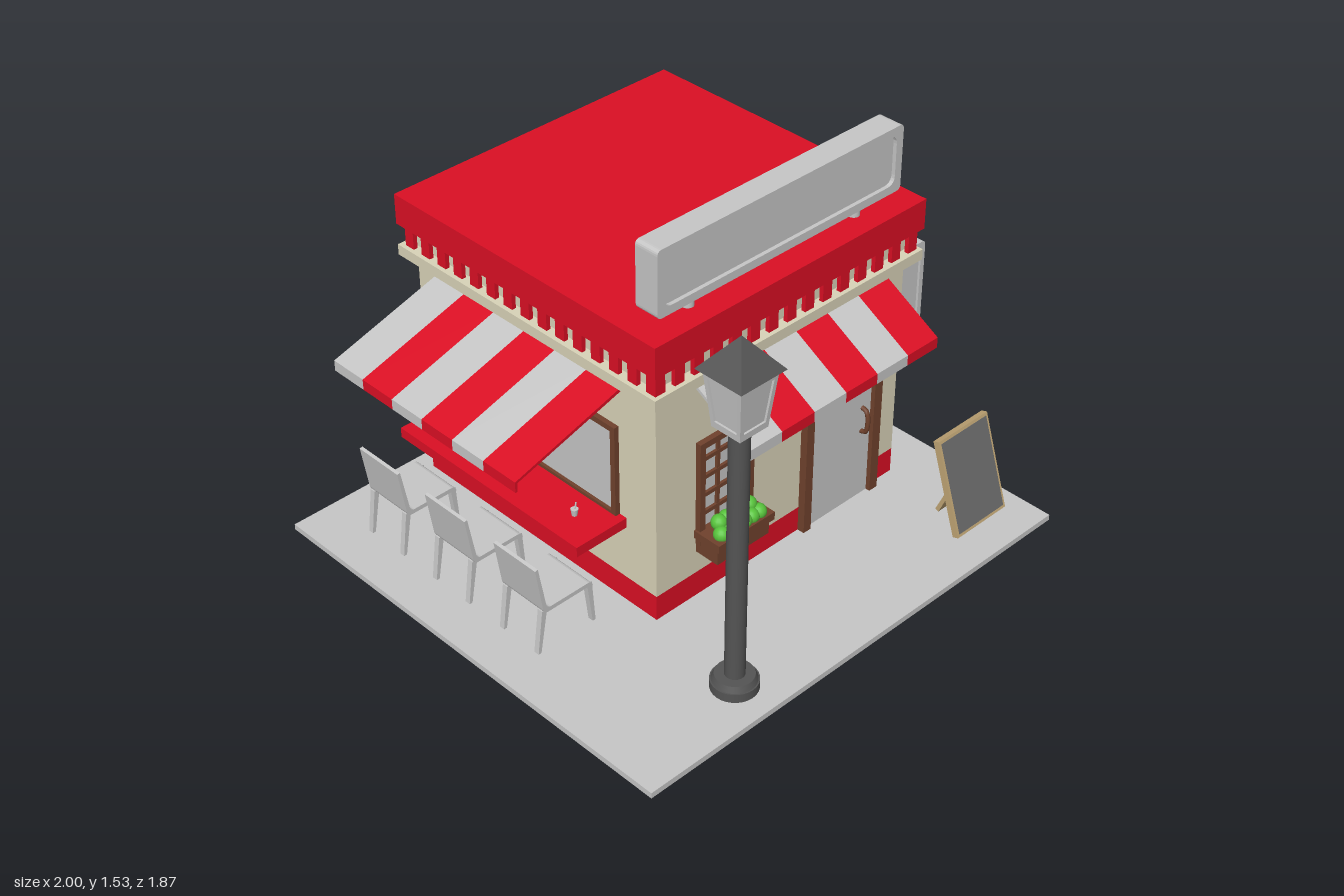
import * as THREE from 'three';

const mat = (name, color, side = THREE.FrontSide) => {
  const m = new THREE.MeshStandardMaterial({ color, side });
  m.name = name;
  return m;
};

export function createModel() {
  const grey = mat('pale grey', 0xc6c6c6);
  const red = mat('red', 0xdb0f24);
  const cream = mat('cream', 0xd9d3b8);
  const brown = mat('brown', 0x70422d);
  const dark = mat('lamp grey', 0x545454);
  const slate = mat('slate', 0x6a6a6a);
  const wood = mat('light wood', 0xbfa474);
  const green = mat('leaf green', 0x58c43c);

  const model = new THREE.Group();
  model.name = 'cafe';
  const group = (name, parent = model) => {
    const g = new THREE.Group();
    g.name = name;
    parent.add(g);
    return g;
  };
  const add = (name, geo, material, parent = model) => {
    const m = new THREE.Mesh(geo, material);
    m.name = name;
    parent.add(m);
    return m;
  };
  // Box given by its limits on each axis
  const box = (name, material, x0, x1, y0, y1, z0, z1, parent) => {
    const m = add(name, new THREE.BoxGeometry(x1 - x0, y1 - y0, z1 - z0), material, parent);
    m.position.set((x0 + x1) / 2, (y0 + y1) / 2, (z0 + z1) / 2);
    return m;
  };
  const cyl = (name, material, r0, r1, y0, y1, x, z, sides = 24, parent) => {
    const m = add(name, new THREE.CylinderGeometry(r1, r0, y1 - y0, sides), material, parent);
    m.position.set(x, (y0 + y1) / 2, z);
    return m;
  };

  // Pavement slab
  box('pavementFoot', grey, -0.945, 0.945, 0, 0.022, -0.9, 0.905);
  box('pavement', grey, -1, 1, 0.022, 0.045, -0.935, 0.93);

  // Building shell
  box('plinth', red, -0.42, 0.783, 0.045, 0.148, -0.853, 0.35);
  box('walls', cream, -0.42, 0.783, 0.148, 1.105, -0.853, 0.35);
  box('cornice', cream, -0.465, 0.828, 0.978, 1.02, -0.905, 0.395);
  box('roof', red, -0.465, 0.828, 1.105, 1.225, -0.905, 0.395);

  // Scalloped fringe around the roof
  const fringe = group('roofFringe');
  const w = 1.26 / 29;
  for (let i = 0; i < 15; i++) {
    const x = -0.448 + i * 2 * w, z = -0.881 + i * 2 * w;
    box('fringeFront', red, x, x + w, 1.02, 1.105, 0.362, 0.379, fringe);
    box('fringeBack', red, x, x + w, 1.02, 1.105, -0.881, -0.864, fringe);
    box('fringeLeft', red, 0.795, 0.812, 1.02, 1.105, z, z + w, fringe);
    box('fringeRight', red, -0.448, -0.431, 1.02, 1.105, z, z + w, fringe);
  }

  // Sign box: rounded recess on both faces
  const roundRect = (s, hw, hh, r) => {
    s.moveTo(-hw + r, -hh);
    s.lineTo(hw - r, -hh); s.quadraticCurveTo(hw, -hh, hw, -hh + r);
    s.lineTo(hw, hh - r); s.quadraticCurveTo(hw, hh, hw - r, hh);
    s.lineTo(-hw + r, hh); s.quadraticCurveTo(-hw, hh, -hw, hh - r);
    s.lineTo(-hw, -hh + r); s.quadraticCurveTo(-hw, -hh, -hw + r, -hh);
    return s;
  };
  const sign = (name, width, height, depth, rim, x, y, z) => {
    const g = group(name);
    const hw = width / 2, hh = height / 2;
    const outline = roundRect(new THREE.Shape(), hw, hh, 0.02);
    outline.holes.push(roundRect(new THREE.Path(), hw - rim, hh - rim, 0.035));
    const frame = new THREE.ExtrudeGeometry(outline, { depth, bevelEnabled: false, curveSegments: 5 });
    add('signFrame', frame.translate(0, 0, -depth / 2), grey, g);
    add('signPanel', new THREE.BoxGeometry(width - rim, height - rim, depth * 0.7), grey, g);
    g.position.set(x, y, z);
  };
  sign('roofSign', 1.15, 0.257, 0.1, 0.032, 0.177, 1.4, 0.288);
  sign('sideSign', 0.163, 0.44, 0.06, 0.02, 0.893, 0.725, 0.257);
  for (const x of [-0.217, 0.573]) cyl('roofSignPost', grey, 0.023, 0.023, 1.225, 1.29, x, 0.288);
  for (const y of [0.835, 0.583]) {
    const arm = cyl('sideSignArm', grey, 0.022, 0.022, -0.02, 0.02, 0.798, 0.257);
    arm.rotation.z = Math.PI / 2;
    arm.position.y = y;
  }

  // Striped awning; local x runs along the wall, +z points away from it
  const awning = (name, length, reach, drop) => {
    const g = group(name);
    const s = new THREE.Shape();
    s.moveTo(0, 0);
    s.lineTo(reach, -drop);
    s.lineTo(reach, -drop - 0.042);
    s.lineTo(reach - 0.008, -drop - 0.042);
    s.lineTo(reach - 0.01, -drop - 0.008);
    s.lineTo(0, -0.014);
    const step = length / 6;
    const geo = new THREE.ExtrudeGeometry(s, { depth: step, bevelEnabled: false });
    geo.rotateY(-Math.PI / 2);
    for (let i = 0; i < 6; i++) {
      add('awningStripe', geo, i % 2 ? red : grey, g).position.x = -length / 2 + (i + 1) * step;
    }
    return g;
  };
  awning('frontAwning', 0.93, 0.257, 0.145).position.set(0.215, 0.967, 0.35);
  const sideAwning = awning('counterAwning', 0.935, 0.475, 0.143);
  sideAwning.rotation.y = -Math.PI / 2;
  sideAwning.position.set(-0.42, 0.963, -0.267);

  // Front window with glazing bars
  const win = group('frontWindow');
  box('windowGlass', grey, -0.23, 0.02, 0.3, 0.7, 0.345, 0.355, win);
  for (const x of [-0.235, 0.0]) box('windowJamb', brown, x, x + 0.025, 0.28, 0.71, 0.35, 0.372, win);
  box('windowHead', brown, -0.235, 0.025, 0.685, 0.71, 0.35, 0.372, win);
  for (const x of [-0.142, -0.068]) box('glazingBar', brown, x - 0.007, x + 0.007, 0.3, 0.7, 0.35, 0.365, win);
  for (const y of [0.405, 0.482, 0.558, 0.635]) {
    box('glazingBar', brown, -0.23, 0.02, y - 0.008, y + 0.008, 0.35, 0.366, win);
  }

  // Flower box
  const planter = group('planter');
  box('planterBox', brown, -0.233, 0.018, 0.243, 0.31, 0.35, 0.455, planter);
  box('planterRim', brown, -0.243, 0.028, 0.308, 0.34, 0.35, 0.472, planter);
  const leaf = new THREE.SphereGeometry(0.03, 14, 10);
  for (let row = 0; row < 2; row++) {
    for (let i = 0; i < 6 - row; i++) {
      add('plant', leaf, green, planter)
        .position.set(-0.198 + i * 0.036 + row * 0.018, 0.35 + row * 0.025, 0.438 - row * 0.03);
    }
  }

  // Door
  const door = group('door');
  box('doorLeaf', grey, 0.31, 0.64, 0.045, 0.66, 0.345, 0.362, door);
  box('doorJamb', brown, 0.283, 0.32, 0.045, 0.69, 0.345, 0.38, door);
  box('doorJamb', brown, 0.635, 0.675, 0.045, 0.69, 0.345, 0.38, door);
  box('doorHead', brown, 0.283, 0.675, 0.648, 0.69, 0.345, 0.38, door);
  const grip = new THREE.CatmullRomCurve3([[0.335, 0.36], [0.345, 0.385], [0.43, 0.385], [0.44, 0.36]]
    .map(([y, z]) => new THREE.Vector3(0.59, y, z)));
  add('doorHandle', new THREE.TubeGeometry(grip, 12, 0.009, 8), brown, door);

  // Serving window, counter and drink
  const hatch = group('servingWindow');
  box('hatchGlass', grey, -0.428, -0.415, 0.41, 0.765, -0.69, 0.16, hatch);
  for (const z of [-0.705, 0.15]) box('hatchJamb', brown, -0.44, -0.415, 0.4, 0.78, z, z + 0.022, hatch);
  for (const y of [0.4, 0.758]) box('hatchRail', brown, -0.44, -0.415, y, y + 0.022, -0.705, 0.172, hatch);
  box('counter', red, -0.648, -0.42, 0.37, 0.41, -0.725, 0.205);
  cyl('cup', grey, 0.01, 0.014, 0.41, 0.437, -0.535, 0.07, 16);
  cyl('straw', grey, 0.003, 0.003, 0.43, 0.46, -0.53, 0.07, 8).rotation.z = -0.2;

  // Chairs: bent shell and four splayed legs
  const shell = new THREE.Shape();
  shell.moveTo(-0.832, 0.415);
  shell.lineTo(-0.82, 0.418);
  shell.lineTo(-0.79, 0.25);
  shell.quadraticCurveTo(-0.786, 0.23, -0.77, 0.23);
  shell.lineTo(-0.6, 0.23);
  shell.quadraticCurveTo(-0.582, 0.228, -0.58, 0.208);
  shell.lineTo(-0.6, 0.213);
  shell.lineTo(-0.79, 0.213);
  shell.quadraticCurveTo(-0.803, 0.22, -0.805, 0.24);
  const shellGeo = new THREE.ExtrudeGeometry(shell, { depth: 0.21, bevelEnabled: false, curveSegments: 5 });
  const legGeo = (top, foot) => {
    const s = new THREE.Shape();
    s.moveTo(top, 0.222); s.lineTo(foot, 0.045);
    s.lineTo(foot + 0.013, 0.045); s.lineTo(top + 0.022, 0.222);
    return new THREE.ExtrudeGeometry(s, { depth: 0.022, bevelEnabled: false });
  };
  const legs = [legGeo(-0.805, -0.828), legGeo(-0.602, -0.58)];
  for (const z of [-0.62, -0.26, 0.1]) {
    const chair = group('chair');
    add('chairShell', shellGeo, grey, chair).position.z = -0.105;
    for (const geo of legs) {
      for (const side of [-0.1, 0.078]) add('chairLeg', geo, grey, chair).position.z = side;
    }
    chair.position.z = z;
  }

  // Street lamp
  const lamp = group('streetLamp');
  cyl('lampFoot', dark, 0.085, 0.085, 0.045, 0.08, 0, 0, 28, lamp);
  cyl('lampCollar', dark, 0.08, 0.07, 0.08, 0.102, 0, 0, 28, lamp);
  cyl('lampPole', dark, 0.036, 0.036, 0.1, 1.125, 0, 0, 24, lamp);
  const square = (name, material, h0, h1, y0, y1) => {
    const geo = new THREE.CylinderGeometry(h1 * Math.SQRT2, h0 * Math.SQRT2, y1 - y0, 4).toNonIndexed();
    geo.rotateY(Math.PI / 4);
    geo.computeVertexNormals();
    add(name, geo, material, lamp).position.y = (y0 + y1) / 2;
  };
  square('lanternGlass', grey, 0.054, 0.075, 1.125, 1.33);
  square('lanternSill', grey, 0.062, 0.064, 1.12, 1.145);
  square('lanternHead', grey, 0.08, 0.083, 1.305, 1.335);
  square('lanternRoof', dark, 0.1, 0.0005, 1.335, 1.457);
  for (const sx of [-1, 1]) for (const sz of [-1, 1]) {
    const bar = box('lanternBar', grey, -0.008, 0.008, -0.1, 0.1, -0.008, 0.008, lamp);
    bar.position.set(sx * 0.064, 1.225, sz * 0.064);
    bar.rotation.set(sz * 0.1, 0, -sx * 0.1);
  }
  lamp.position.set(-0.46, 0, 0.765);

  // Leaning menu board with a rear prop
  const board = group('menuBoard');
  box('boardBack', wood, -0.132, 0.132, 0, 0.385, -0.014, 0.012, board);
  box('boardFace', slate, -0.122, 0.122, 0.012, 0.373, 0.011, 0.014, board);
  board.position.set(0.783, 0.049, 0.781);
  board.rotation.x = -0.32;
  const prop = box('boardProp', wood, 0.72, 0.855, 0.045, 0.245, 0.664, 0.68);
  prop.rotation.x = 0.4;

  return model;
}
